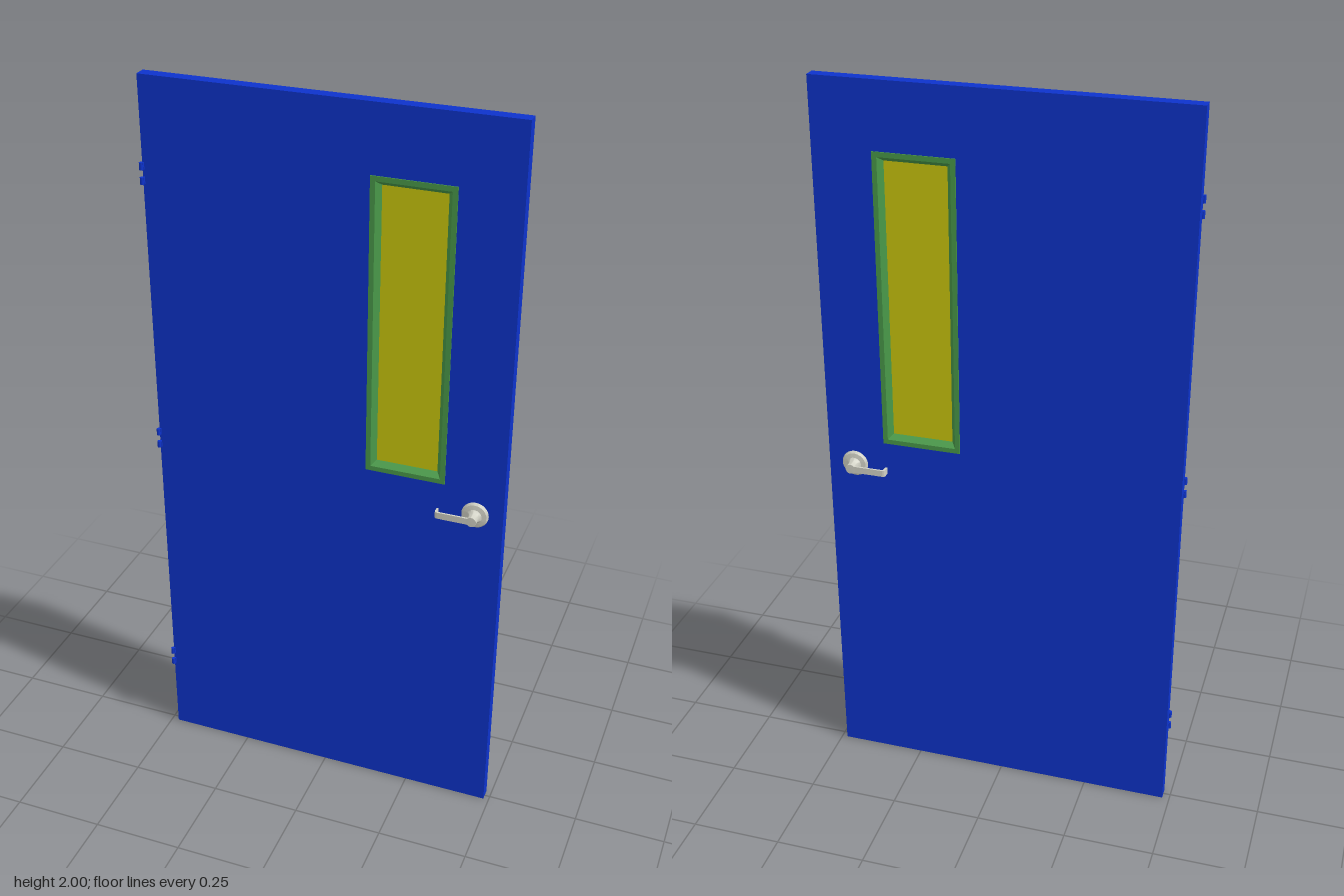
import * as THREE from 'three';
import { toCreasedNormals } from 'three/addons/utils/BufferGeometryUtils.js';

const MID = -0.002; // z of the door's middle plane
const HALF = 0.0165; // half the door thickness
const WIN = { x0: 0.113, x1: 0.327, y0: 1.027, y1: 1.825 };

const paint = (color) => new THREE.MeshStandardMaterial({ color });
const blue = paint(0x0d33cc);
const green = paint(0x4a9a4a);
const yellow = paint(0xccc80d);
const metal = paint(0xd2d2c6);

function add(parent, name, geometry, material) {
  const mesh = new THREE.Mesh(geometry, material);
  mesh.name = name;
  parent.add(mesh);
  return mesh;
}

// Corners of the window rectangle, moved inwards
function windowCorners(inset) {
  const { x0, x1, y0, y1 } = WIN;
  return [[x0 + inset, y0 + inset], [x1 - inset, y0 + inset],
    [x1 - inset, y1 - inset], [x0 + inset, y1 - inset]];
}

// Sweeps an [inset, z] profile around the window with mitred corners
function sweepFrame(profile) {
  const pos = [];
  for (let i = 0; i + 1 < profile.length; i++) {
    const [a, b] = [profile[i], profile[i + 1]];
    const [ra, rb] = [windowCorners(a[0]), windowCorners(b[0])];
    for (let k = 0; k < 4; k++) {
      const n = (k + 1) % 4;
      const p = [...ra[k], a[1]], q = [...ra[n], a[1]];
      const r = [...rb[n], b[1]], s = [...rb[k], b[1]];
      pos.push(...p, ...q, ...r, ...p, ...r, ...s);
    }
  }
  const g = new THREE.BufferGeometry();
  g.setAttribute('position', new THREE.Float32BufferAttribute(pos, 3));
  g.computeVertexNormals();
  return g;
}

// Flat lever bar with a rounded bend and a short return at the tip
function leverGeometry() {
  const s = new THREE.Shape();
  s.moveTo(0.412, 0.056);
  s.lineTo(0.321, 0.056);
  s.quadraticCurveTo(0.313, 0.056, 0.313, 0.048);
  s.lineTo(0.313, 0.034);
  s.lineTo(0.318, 0.034);
  s.lineTo(0.319, 0.047);
  s.quadraticCurveTo(0.319, 0.051, 0.323, 0.051);
  s.lineTo(0.412, 0.051);
  const g = new THREE.ExtrudeGeometry(s, { depth: 0.018, bevelEnabled: false, curveSegments: 6 });
  return toCreasedNormals(g.rotateX(Math.PI / 2).translate(0, 0.009, 0), 0.6);
}

// Round rose plate, tapering into the neck
function roseGeometry() {
  const profile = [[0.036, 0.014], [0.036, 0.02], [0.032, 0.025], [0.02, 0.027],
    [0.015, 0.034], [0.0135, 0.042], [0.0135, 0.056], [0, 0.0565]];
  const g = new THREE.LatheGeometry(profile.map((p) => new THREE.Vector2(...p)), 32);
  return toCreasedNormals(g.rotateX(Math.PI / 2).translate(0.411, 0, 0), 0.6);
}

export function createModel() {
  const model = new THREE.Group();
  model.name = 'door';

  // Door leaf with the window opening
  const leaf = new THREE.Shape([[-0.48, 0], [0.485, 0], [0.485, 2], [-0.48, 2]]
    .map((p) => new THREE.Vector2(...p)));
  leaf.holes.push(new THREE.Path(windowCorners(0.014).map((p) => new THREE.Vector2(...p))));
  const leafGeometry = new THREE.ExtrudeGeometry(leaf, { depth: 2 * HALF, bevelEnabled: false });
  add(model, 'doorLeaf', leafGeometry.translate(0, 0, MID - HALF), blue);

  // Window frame: raised rim, then a slope down to the pane, on both faces
  const frame = add(model, 'windowFrame', sweepFrame([
    [0, HALF], [0, HALF + 0.0025], [0.013, HALF + 0.0025], [0.025, 0.003],
    [0.025, -0.003], [0.013, -HALF - 0.0025], [0, -HALF - 0.0025], [0, -HALF],
  ]), green);
  frame.position.z = MID;

  // Window pane
  const pane = add(model, 'windowPane', new THREE.BoxGeometry(
    WIN.x1 - WIN.x0 - 0.048, WIN.y1 - WIN.y0 - 0.048, 0.005), yellow);
  pane.position.set((WIN.x0 + WIN.x1) / 2, (WIN.y0 + WIN.y1) / 2, MID);

  // Lever handles, mirrored on front and back
  const rose = roseGeometry();
  const lever = leverGeometry();
  for (const [name, side] of [['frontHandle', 1], ['backHandle', -1]]) {
    const handle = new THREE.Group();
    handle.name = name;
    add(handle, 'rose', rose, metal);
    add(handle, 'lever', lever, metal);
    handle.position.set(0, 0.954, MID);
    handle.scale.z = side;
    model.add(handle);
  }

  // Three hinges, each with two knuckles and a small tab to the door
  const knuckle = new THREE.CylinderGeometry(0.005, 0.005, 0.019, 16);
  const tab = new THREE.BoxGeometry(0.006, 0.019, 0.008);
  for (const y of [0.252, 1.0, 1.752]) {
    const hinge = new THREE.Group();
    hinge.name = 'hinge';
    for (const dy of [-0.019, 0.019]) {
      add(hinge, 'knuckle', knuckle, blue).position.set(0, dy, 0);
      add(hinge, 'tab', tab, blue).position.set(0.003, dy, -0.004);
    }
    hinge.position.set(-0.481, y, 0.02);
    model.add(hinge);
  }
  return model;
}
